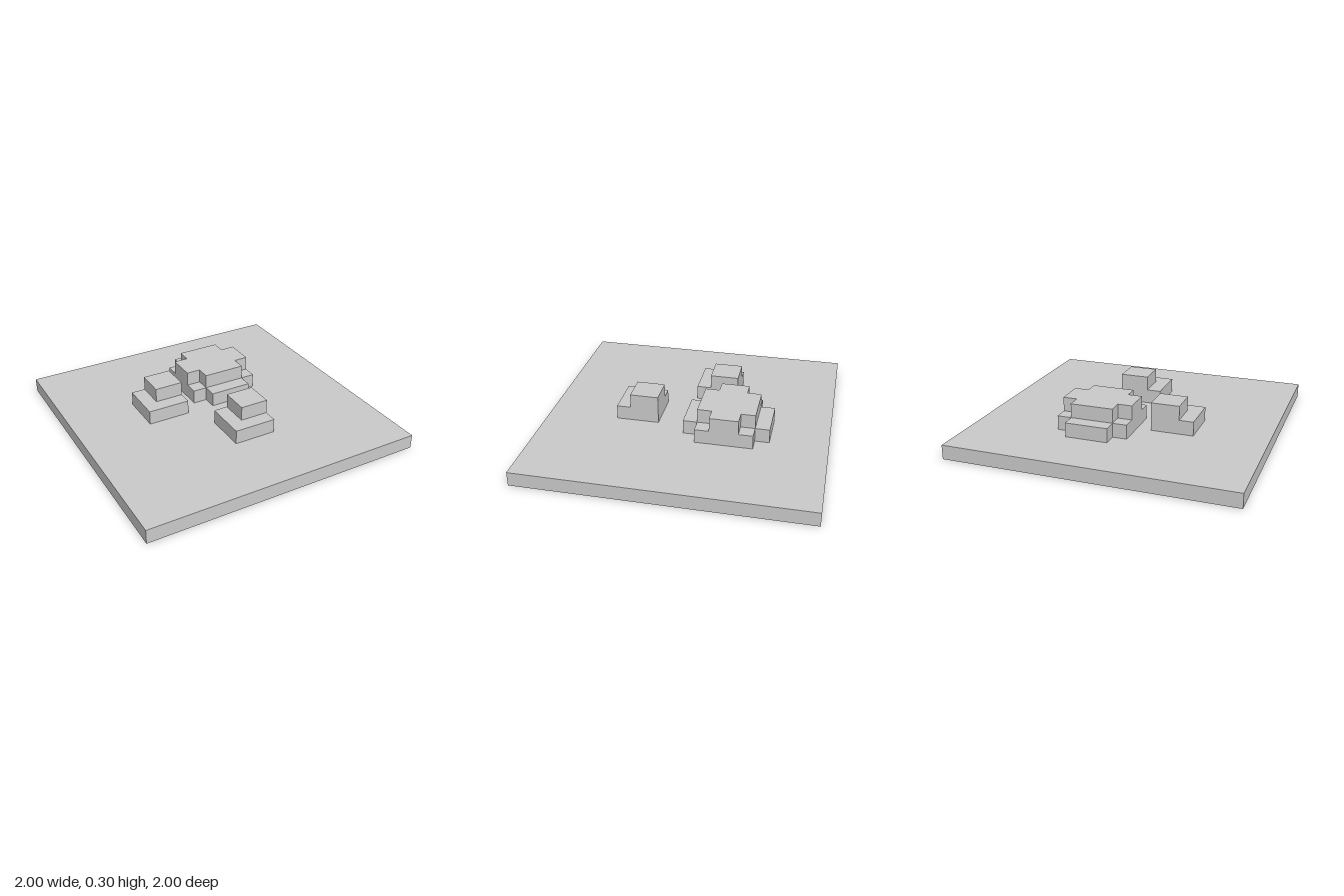
import * as THREE from 'three';

const material = new THREE.MeshStandardMaterial({ color: 0xcccccc, flatShading: true });

// Box given by its extents on the ground plan and in height
function block(name, x0, x1, z0, z1, y0, y1) {
  const mesh = new THREE.Mesh(new THREE.BoxGeometry(x1 - x0, y1 - y0, z1 - z0), material);
  mesh.position.set((x0 + x1) / 2, (y0 + y1) / 2, (z0 + z1) / 2);
  mesh.name = name;
  return mesh;
}

// Slab with square notches cut from its four corners, extruded upwards
function notchedSlab(name, halfX, halfZ, notch, y0, height) {
  const corners = [];
  for (const [sx, sz] of [[1, 1], [-1, 1], [-1, -1], [1, -1]]) {
    const steps = [
      [sx * halfX, sz * (halfZ - notch)],
      [sx * (halfX - notch), sz * (halfZ - notch)],
      [sx * (halfX - notch), sz * halfZ],
    ];
    if (sx * sz < 0) steps.reverse();
    corners.push(...steps.map(([x, z]) => new THREE.Vector2(x, z)));
  }
  const geometry = new THREE.ExtrudeGeometry(new THREE.Shape(corners), { depth: height, bevelEnabled: false });
  geometry.rotateX(-Math.PI / 2);
  const mesh = new THREE.Mesh(geometry, material);
  mesh.position.y = y0;
  mesh.name = name;
  return mesh;
}

// Small two-step mound; the upper step sits in the back left corner
function smallMound(name, x, z) {
  const group = new THREE.Group();
  group.name = name;
  group.add(
    block('lowerStep', 0, 0.3, 0, 0.3, 0.1, 0.2),
    block('upperStep', 0.1, 0.3, 0, 0.2, 0.2, 0.3),
  );
  group.position.set(x, 0, z);
  return group;
}

export function createModel() {
  const model = new THREE.Group();
  model.name = 'terrainTile';

  // Flat ground
  model.add(block('groundSlab', -1, 1, -1, 1, 0, 0.1));

  // Large two-layer mound
  const mound = new THREE.Group();
  mound.name = 'largeMound';
  mound.add(
    notchedSlab('lowerLayer', 0.25, 0.3, 0.1, 0.1, 0.1),
    notchedSlab('upperLayer', 0.25, 0.2, 0.1, 0.2, 0.1),
  );
  mound.position.set(0.15, 0, -0.3);
  model.add(mound);

  // Two small mounds
  model.add(smallMound('sideMound', -0.5, -0.3), smallMound('frontMound', -0.1, 0.2));
  return model;
}
